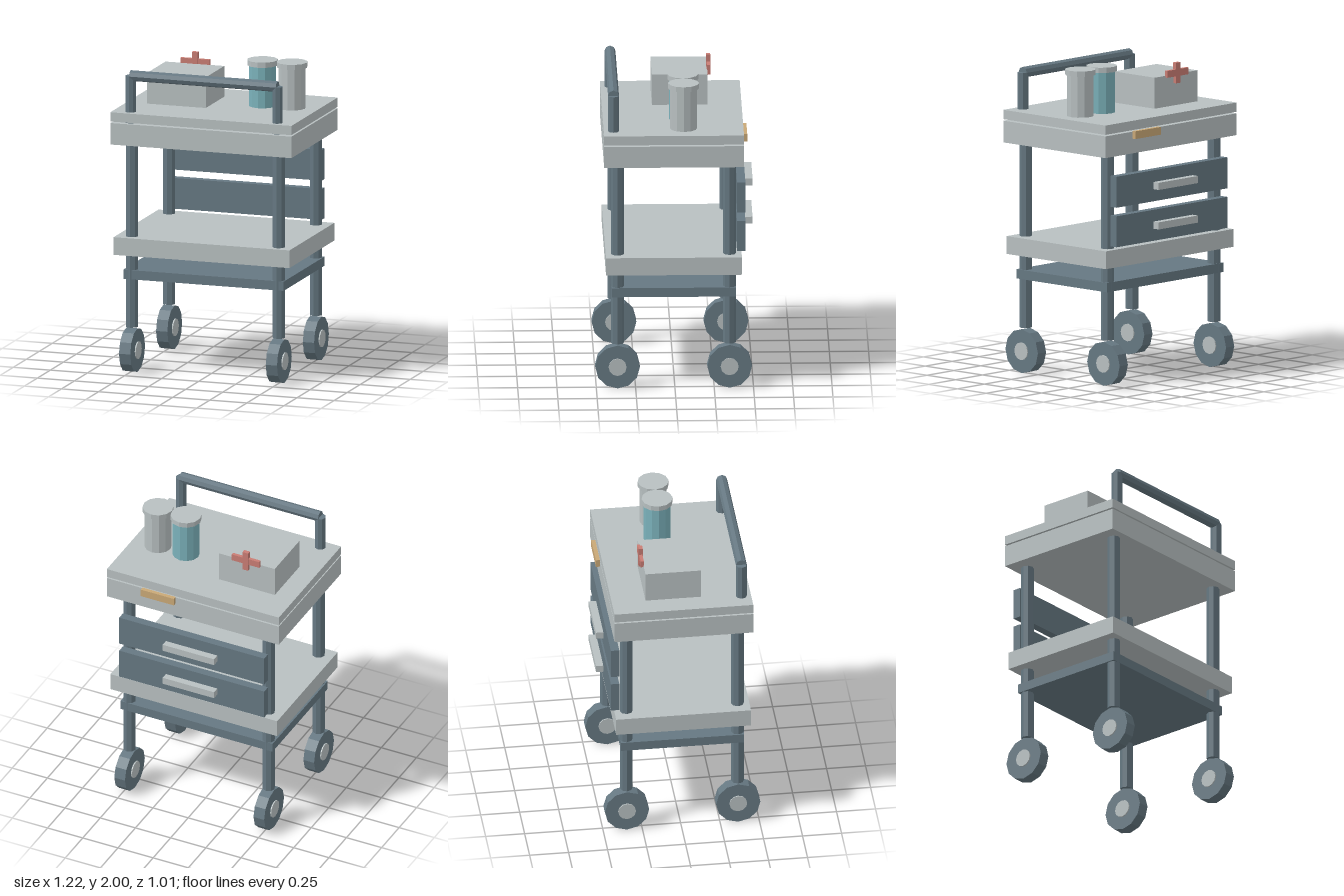
import * as THREE from 'three';

const material = (name, color) => {
  const m = new THREE.MeshStandardMaterial({ color, flatShading: true });
  m.name = name;
  return m;
};

export function createModel() {
  const grey = material('pale grey', 0xb8c0c1);
  const slate = material('slate', 0x667882);
  const teal = material('teal', 0x7bb2bb);
  const red = material('red', 0xc97d74);
  const tan = material('tan', 0xc9a877);

  const cart = new THREE.Group();
  cart.name = 'utilityCart';

  const add = (name, geometry, mat, x, y, z) => {
    const mesh = new THREE.Mesh(geometry, mat);
    mesh.name = name;
    mesh.position.set(x, y, z);
    cart.add(mesh);
    return mesh;
  };
  // Box given by its minimum and maximum on each axis
  const box = (name, mat, [x0, x1], [y0, y1], [z0, z1]) =>
    add(name, new THREE.BoxGeometry(x1 - x0, y1 - y0, z1 - z0), mat,
      (x0 + x1) / 2, (y0 + y1) / 2, (z0 + z1) / 2);
  // Upright cylinder from y0 to y1
  const post = (name, mat, r, sides, x, y0, y1, z) =>
    add(name, new THREE.CylinderGeometry(r, r, y1 - y0, sides), mat, x, (y0 + y1) / 2, z);

  // Worktop, tray and shelves
  box('worktop', grey, [-0.613, 0.608], [1.64, 1.7], [-0.438, 0.452]);
  box('upperTray', grey, [-0.613, 0.608], [1.49, 1.63], [-0.438, 0.452]);
  box('lowerShelf', grey, [-0.595, 0.59], [0.77, 0.885], [-0.425, 0.44]);
  box('baseFrame', slate, [-0.543, 0.538], [0.61, 0.67], [-0.387, 0.402]);

  // Legs and wheels at the four corners
  for (const x of [-0.497, 0.492]) {
    for (const z of [-0.348, 0.365]) {
      post('leg', slate, 0.041, 8, x, 0.295, 1.66, z);
      const tyre = add('wheel', new THREE.CylinderGeometry(0.142, 0.142, 0.076, 12), slate, x, 0.144, z);
      const hub = add('wheelHub', new THREE.CylinderGeometry(0.057, 0.057, 0.092, 12), grey, x, 0.144, z);
      tyre.rotation.z = hub.rotation.z = Math.PI / 2;
    }
    // Push handle upright
    post('handlePost', slate, 0.035, 8, x, 1.63, 1.935, 0.39);
  }
  const bar = add('handleBar', new THREE.CylinderGeometry(0.035, 0.035, 0.99, 8), slate, -0.002, 1.935, 0.39);
  bar.rotation.z = Math.PI / 2;

  // Drawers on the back, each with a pull
  for (const y of [0.905, 1.16]) {
    box('drawer', slate, [-0.515, 0.515], [y, y + 0.2], [-0.449, -0.395]);
    box('drawerPull', grey, [-0.185, 0.18], [y + 0.08, y + 0.126], [-0.502, -0.455]);
  }
  box('latch', tan, [0.12, 0.355], [1.585, 1.635], [-0.464, -0.438]);

  // Kit box with a cross
  box('kitBox', grey, [-0.477, -0.081], [1.7, 1.9], [-0.222, 0.133]);
  box('crossBar', red, [-0.376, -0.18], [1.889, 1.933], [-0.24, -0.219]);
  box('crossUpright', red, [-0.298, -0.258], [1.844, 1.977], [-0.243, -0.216]);

  // Lidded jars
  for (const [x, mat] of [[0.235, teal], [0.434, grey]]) {
    post('jar', mat, 0.087, 12, x, 1.7, 1.966, -0.057);
    post('jarLid', grey, 0.099, 12, x, 1.966, 2.0, -0.057);
  }
  return cart;
}
